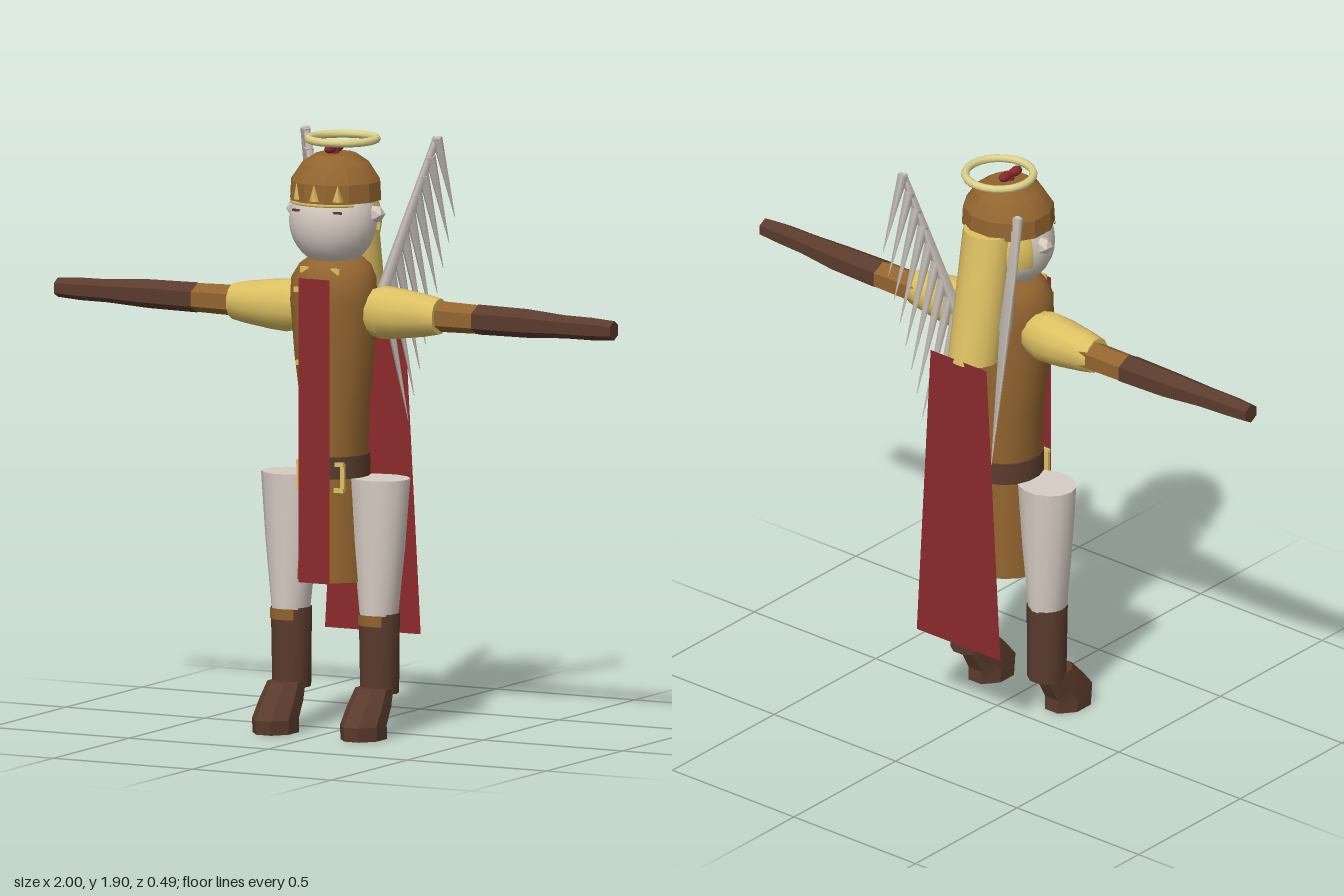
import * as THREE from 'three';
import { toCreasedNormals } from 'three/addons/utils/BufferGeometryUtils.js';

const mat = (name, color, side = THREE.FrontSide) => {
  const m = new THREE.MeshStandardMaterial({ color, side });
  m.name = name;
  return m;
};

// Closed solid through elliptical rings [y, radiusX, radiusZ, centreZ], listed upwards
function loft(rings, sides, crease = 0.7) {
  const pos = [];
  const at = (r, j) => {
    const a = ((j + 0.5) / sides) * Math.PI * 2;
    return [r[1] * Math.sin(a), r[0], (r[3] || 0) + r[2] * Math.cos(a)];
  };
  const low = rings[0], top = rings[rings.length - 1];
  for (let j = 0; j < sides; j++) {
    for (let i = 0; i + 1 < rings.length; i++) {
      const a = at(rings[i], j), b = at(rings[i], j + 1);
      const c = at(rings[i + 1], j + 1), d = at(rings[i + 1], j);
      pos.push(...a, ...b, ...c, ...a, ...c, ...d);
    }
    pos.push(0, top[0], top[3] || 0, ...at(top, j), ...at(top, j + 1));
    pos.push(0, low[0], low[3] || 0, ...at(low, j + 1), ...at(low, j));
  }
  const g = new THREE.BufferGeometry();
  g.setAttribute('position', new THREE.Float32BufferAttribute(pos, 3));
  g.computeVertexNormals();
  return toCreasedNormals(g, crease);
}

// Flat vertical cloth panel, widths at bottom and top
function panel(y0, w0, y1, w1) {
  return new THREE.ShapeGeometry(new THREE.Shape([
    new THREE.Vector2(-w0, y0), new THREE.Vector2(w0, y0),
    new THREE.Vector2(w1, y1), new THREE.Vector2(-w1, y1),
  ]));
}

export function createModel() {
  const model = new THREE.Group();
  model.name = 'wingedFigure';
  const brown = mat('leather brown', 0x92642f);
  const dark = mat('dark brown', 0x5a3b2d);
  const gold = mat('gold', 0xdcc062, THREE.DoubleSide);
  const red = mat('red cloth', 0x8a292c, THREE.DoubleSide);
  const pale = mat('pale cloth', 0xd6ccc2);
  const feather = mat('feather grey', 0xc6bfb6);
  const haloMat = mat('halo yellow', 0xded48c);

  const add = (name, geo, material, x = 0, y = 0, z = 0, parent = model) => {
    const m = new THREE.Mesh(geo, material);
    m.name = name;
    m.position.set(x, y, z);
    parent.add(m);
    return m;
  };

  // Tunic, belt and skirt
  add('tunic', loft([
    [0.88, 0.1, 0.115, 0.058], [1.05, 0.108, 0.116, 0.058], [1.2, 0.13, 0.118, 0.062],
    [1.38, 0.143, 0.125, 0.068], [1.45, 0.14, 0.122, 0.068], [1.49, 0.118, 0.108, 0.06],
    [1.515, 0.085, 0.085, 0.055],
  ], 16), brown);
  add('belt', loft([[0.82, 0.108, 0.122, 0.056], [0.89, 0.106, 0.122, 0.058]], 16), dark);
  add('skirt', loft([[0.49, 0.12, 0.126, 0.056], [0.65, 0.108, 0.12, 0.057],
    [0.82, 0.1, 0.115, 0.058]], 16), brown);

  // Cloth panels front and back
  add('tabard', panel(0.49, 0.055, 1.46, 0.055), red, 0, 0, 0.198);
  add('cape', panel(0.29, 0.172, 1.3, 0.115), red, 0, 0, -0.19);
  add('backMantle', loft([[1.285, 0.085, 0.085, -0.11], [1.71, 0.085, 0.075, -0.042]], 16), gold);

  // Buckle behind the tabard
  for (const s of [-1, 1]) {
    add('buckleSide', new THREE.BoxGeometry(0.016, 0.09, 0.009), gold, s * 0.078, 0.825, 0.152);
    for (const y of [0.785, 0.868])
      add('buckleEdge', new THREE.BoxGeometry(0.034, 0.014, 0.009), gold, s * 0.068, y, 0.157);
    add('collarStud', new THREE.BoxGeometry(0.03, 0.02, 0.008), gold, s * 0.055, 1.482, 0.157);
  }
  for (const y of [1.185, 1.42])
    add('clasp', new THREE.BoxGeometry(0.028, 0.016, 0.009), gold, -0.07, y, y > 1.3 ? 0.175 : 0.163);

  // Head, hair and cap
  const head = add('head', new THREE.SphereGeometry(1, 24, 16), pale, 0, 1.635, 0.072);
  head.scale.set(0.143, 0.148, 0.128);
  const hair = add('hair', new THREE.SphereGeometry(1, 20, 4, 0.12, Math.PI - 0.24, 1.05, 0.8),
    gold, 0, 1.635, 0.025);
  hair.scale.set(0.14, 0.15, 0.1);
  hair.rotation.y = Math.PI;
  add('cap', loft([
    [1.7, 0.148, 0.147, 0.055], [1.76, 0.145, 0.143, 0.055],
    [1.815, 0.108, 0.11, 0.055], [1.845, 0.062, 0.068, 0.055],
  ], 12, 0.45), brown);
  const brim = add('capTrim', new THREE.TorusGeometry(0.143, 0.005, 4, 16, 1.8), gold, 0, 1.695, 0.055);
  brim.rotation.set(Math.PI / 2, 0, Math.PI / 2 - 0.9);
  brim.rotation.order = 'XYZ';
  for (const a of [-0.55, 0, 0.55]) {
    const stud = add('capStud', new THREE.ConeGeometry(0.018, 0.055, 4), gold,
      0.143 * Math.sin(a), 1.735, 0.055 + 0.143 * Math.cos(a));
    stud.scale.z = 0.4;
    stud.rotation.y = a;
  }
  for (const s of [-1, 1]) {
    add('ear', new THREE.IcosahedronGeometry(0.029, 0), pale, s * 0.146, 1.66, 0.055);
    add('eyelid', new THREE.BoxGeometry(0.035, 0.007, 0.008), dark, s * 0.07, 1.673, 0.178);
  }

  // Topknot and halo
  for (const z of [0.04, 0.09]) {
    const bow = add('topknotLoop', new THREE.SphereGeometry(0.016, 8, 6), red, 0, 1.863, z);
    bow.scale.z = 1.8;
  }
  add('topknotTie', new THREE.CylinderGeometry(0.012, 0.016, 0.03, 8), red, 0, 1.85, 0.062);
  const halo = add('halo', new THREE.TorusGeometry(0.108, 0.013, 8, 24), haloMat, 0, 1.885, 0.01);
  halo.rotation.x = Math.PI / 2;

  const sleeveGeo = loft([[0.11, 0.07, 0.06], [0.17, 0.085, 0.075], [0.23, 0.08, 0.075],
    [0.32, 0.068, 0.063], [0.37, 0.058, 0.055]], 12, 0.6);
  const armGeo = loft([[0.34, 0.05, 0.053, -0.008], [0.51, 0.046, 0.053, -0.006]], 6, 0.1);
  const gloveGeo = loft([[0.505, 0.048, 0.055, -0.006], [0.68, 0.046, 0.05, -0.005],
    [0.82, 0.037, 0.04, 0.003]], 6, 0.1);
  const handGeo = loft([[0.82, 0.037, 0.04, 0.003], [0.92, 0.036, 0.037, 0.006],
    [1.0, 0.031, 0.031, 0.006]], 6, 0.1);
  const thighGeo = loft([[0.385, 0.06, 0.066, 0.06], [0.6, 0.083, 0.077, 0.057],
    [0.82, 0.1, 0.086, 0.055]], 14);
  const bootGeo = loft([[0.135, 0.062, 0.062, 0.055], [0.39, 0.066, 0.064, 0.057]], 10);
  const cuffGeo = new THREE.CylinderGeometry(0.069, 0.068, 0.035, 8, 1, true, -0.9, 1.5);
  const footGeo = loft([[0, 0.07, 0.088, 0.16], [0.045, 0.071, 0.09, 0.163],
    [0.1, 0.068, 0.082, 0.125], [0.155, 0.06, 0.064, 0.09]], 8, 0.4);

  for (const s of [-1, 1]) {
    const side = s > 0 ? 'left' : 'right';

    // Outstretched arm
    const arm = new THREE.Group();
    arm.name = side + 'Arm';
    arm.position.set(0, 1.347, 0.047);
    arm.rotation.z = -s * Math.PI / 2;
    model.add(arm);
    add('sleeve', sleeveGeo, gold, 0, 0, 0, arm);
    add('upperArm', armGeo, brown, 0, 0, 0, arm);
    add('glove', gloveGeo, dark, 0, 0, 0, arm);
    add('hand', handGeo, dark, 0, 0, 0, arm);

    // Leg
    const leg = new THREE.Group();
    leg.name = side + 'Leg';
    leg.position.x = s * 0.158;
    model.add(leg);
    add('thigh', thighGeo, pale, 0, 0, 0, leg);
    add('boot', bootGeo, dark, 0, 0, 0, leg);
    add('bootCuff', cuffGeo, brown, 0, 0.37, 0.057, leg);
    add('foot', footGeo, dark, 0, 0, 0, leg);

    // Wing: a slim bone with a fan of hanging feathers
    const wing = new THREE.Group();
    wing.name = side + 'Wing';
    model.add(wing);
    const spike = (name, from, to, r0, r1) => {
      const dir = to.clone().sub(from);
      const m = add(name, new THREE.CylinderGeometry(r1, r0, dir.length(), 5), feather, 0, 0, 0, wing);
      m.position.copy(from).addScaledVector(dir, 0.5);
      m.quaternion.setFromUnitVectors(new THREE.Vector3(0, 1, 0), dir.normalize());
    };
    const root = new THREE.Vector3(s * 0.1, 1.4, -0.08);
    const peak = new THREE.Vector3(s * 0.235, 1.88, -0.18);
    const lowTip = new THREE.Vector3(s * 0.13, 0.97, -0.185);
    const highTip = new THREE.Vector3(s * 0.265, 1.62, -0.245);
    spike('wingBone', root, peak, 0.022, 0.012);
    for (let i = 0; i < 9; i++) {
      const t = i / 8;
      spike('feather', root.clone().lerp(peak, t), lowTip.clone().lerp(highTip, t), 0.018, 0.001);
    }
  }
  return model;
}
